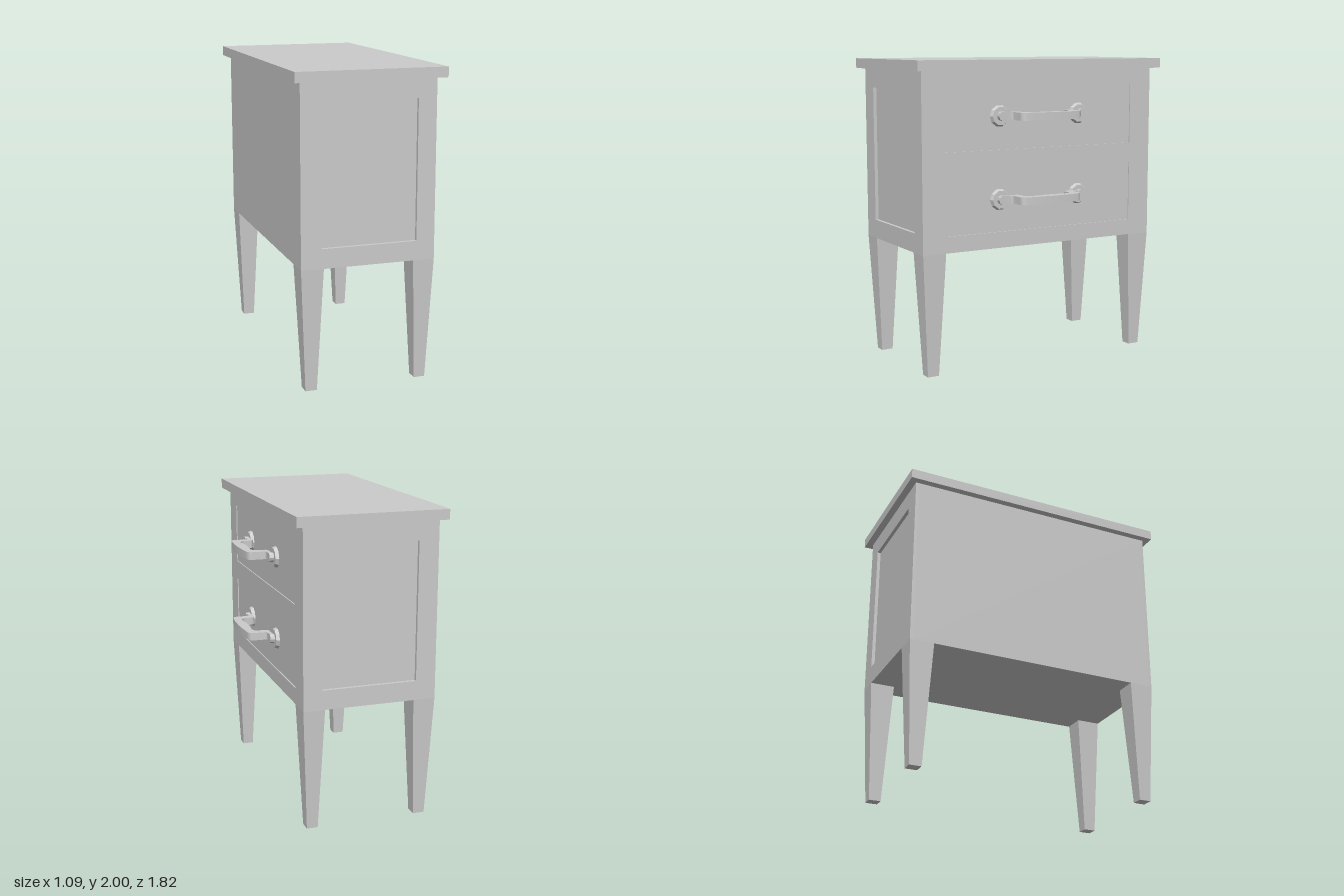
import * as THREE from 'three';
import { toCreasedNormals } from 'three/addons/utils/BufferGeometryUtils.js';

const material = new THREE.MeshStandardMaterial({ color: 0xcccccc });

function add(parent, name, geometry, x = 0, y = 0, z = 0) {
  const mesh = new THREE.Mesh(geometry, material);
  mesh.name = name;
  mesh.position.set(x, y, z);
  parent.add(mesh);
  return mesh;
}

// Box given by its limits
function addBox(parent, name, [x0, x1], [y0, y1], [z0, z1]) {
  return add(parent, name, new THREE.BoxGeometry(x1 - x0, y1 - y0, z1 - z0),
    (x0 + x1) / 2, (y0 + y1) / 2, (z0 + z1) / 2);
}

function rectPoints(x0, x1, y0, y1) {
  return [[x0, y0], [x1, y0], [x1, y1], [x0, y1]].map(p => new THREE.Vector2(...p));
}

// Flat frame with rectangular openings
function frameGeometry(outer, openings, depth) {
  const shape = new THREE.Shape(rectPoints(...outer));
  for (const o of openings) shape.holes.push(new THREE.Path(rectPoints(...o).reverse()));
  return new THREE.ExtrudeGeometry(shape, { depth, bevelEnabled: false });
}

// Leg tapering from a top rectangle to a smaller foot
function legGeometry(top, foot, height) {
  const g = new THREE.BoxGeometry(1, 1, 1);
  const p = g.attributes.position;
  for (let i = 0; i < p.count; i++) {
    const r = p.getY(i) > 0 ? top : foot;
    p.setXYZ(i, p.getX(i) > 0 ? r[1] : r[0], p.getY(i) > 0 ? height : 0,
      p.getZ(i) > 0 ? r[3] : r[2]);
  }
  g.computeVertexNormals();
  return g;
}

// Bowed pull with inward bends and feet, seen from above: x outwards, y along its length
function gripGeometry(thickness) {
  const half = new THREE.Path();
  half.moveTo(0.542, 0);
  half.quadraticCurveTo(0.541, 0.10, 0.531, 0.19);
  half.quadraticCurveTo(0.527, 0.225, 0.495, 0.225);
  half.lineTo(0.425, 0.225);
  half.quadraticCurveTo(0.41, 0.225, 0.41, 0.24);
  half.lineTo(0.41, 0.297);
  half.lineTo(0.385, 0.297);
  half.lineTo(0.385, 0.19);
  half.quadraticCurveTo(0.387, 0.17, 0.405, 0.17);
  half.lineTo(0.45, 0.17);
  half.quadraticCurveTo(0.482, 0.168, 0.486, 0.12);
  half.quadraticCurveTo(0.476, 0.06, 0.475, 0);
  const pts = half.getPoints(6);
  const mirrored = pts.slice(1, -1).reverse().map(p => new THREE.Vector2(p.x, -p.y));
  const g = new THREE.ExtrudeGeometry(new THREE.Shape([...pts, ...mirrored]),
    { depth: thickness, bevelEnabled: false });
  g.rotateX(Math.PI / 2).translate(0, thickness / 2, 0);
  return toCreasedNormals(g, 0.5);
}

export function createModel() {
  const model = new THREE.Group();
  model.name = 'nightstand';

  const [x0, x1] = [-0.5, 0.37];
  const [y0, y1] = [0.795, 1.935];
  const zEnd = 0.862, panelDepth = 0.022, drawerDepth = 0.007;
  const zCore = zEnd - panelDepth;

  // Top board and cabinet core
  addBox(model, 'tabletop', [-0.545, 0.422], [y1, 2], [-0.908, 0.908]);
  addBox(model, 'cabinetBody', [x0, x1 - drawerDepth], [y0, y1], [-zCore, zCore]);

  // End frames around recessed panels
  const sideFrame = frameGeometry([x0, x1, y0, y1], [[-0.37, 0.25, 0.92, 1.81]], panelDepth);
  add(model, 'sideFrameFront', sideFrame, 0, 0, zCore);
  add(model, 'sideFrameBack', sideFrame, 0, 0, -zEnd);

  // Face frame around the slightly sunk drawer fronts
  const faceFrame = frameGeometry([-zCore, zCore, y0, y1],
    [[-0.7, 0.7, 0.9, 1.3], [-0.7, 0.7, 1.43, 1.83]], drawerDepth);
  faceFrame.rotateY(Math.PI / 2);
  add(model, 'drawerFaceFrame', faceFrame, x1 - drawerDepth, 0, 0);

  // Four tapered legs
  for (const s of [1, -1]) {
    const zs = (a, b) => (s > 0 ? [a, b] : [-b, -a]);
    const top = zs(0.702, zEnd), foot = zs(0.745, 0.823);
    add(model, 'leg', legGeometry([0.23, x1, ...top], [0.265, 0.337, ...foot], y0));
    add(model, 'leg', legGeometry([x0, -0.355, ...top], [-0.465, -0.39, ...foot], y0));
  }

  // Drawer pulls: grip, rosettes and hubs
  const grip = gripGeometry(0.05);
  const rosette = new THREE.CylinderGeometry(0.06, 0.071, 0.024, 10).toNonIndexed();
  const hub = new THREE.CylinderGeometry(0.03, 0.03, 0.04, 10).toNonIndexed();
  for (const g of [rosette, hub]) {
    g.rotateZ(-Math.PI / 2);
    g.computeVertexNormals();
  }
  for (const y of [1.11, 1.645]) {
    const handle = new THREE.Group();
    handle.name = 'drawerHandle';
    handle.position.set(0, y, 0.016);
    add(handle, 'grip', grip);
    for (const s of [1, -1]) {
      add(handle, 'rosette', rosette, 0.373, 0, s * 0.297);
      add(handle, 'hub', hub, 0.394, 0, s * 0.297);
    }
    model.add(handle);
  }
  return model;
}
